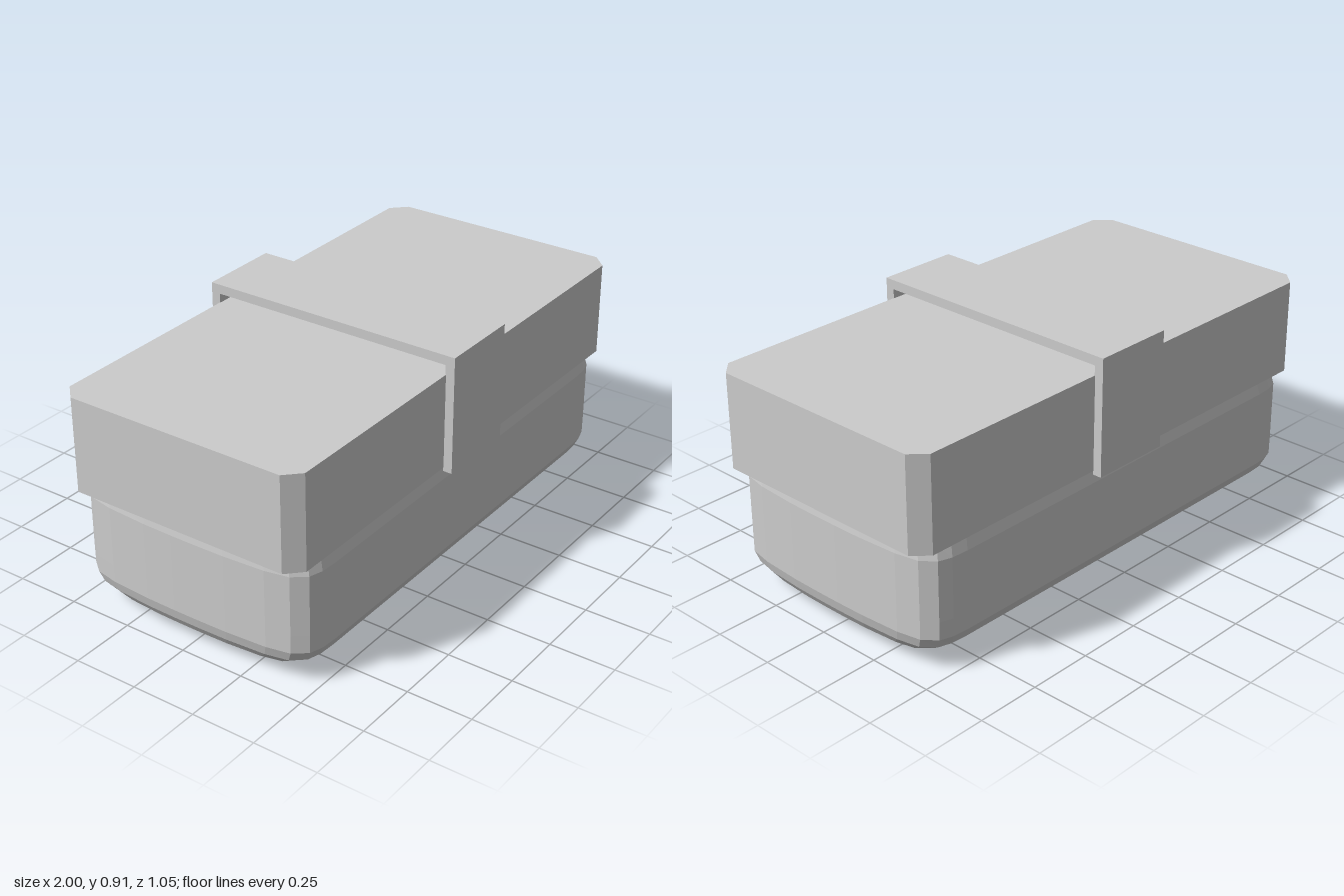
import * as THREE from 'three';

const grey = () => new THREE.MeshStandardMaterial({ color: 0xcccccc, flatShading: true });

function polygon(points) {
  return new THREE.Shape(points.map(([x, y]) => new THREE.Vector2(x, y)));
}

// Tub: one rounded plan outline, lofted through levels of [half length, half depth, y]
function tubGeometry() {
  const quarter = [[0.975, 0.05], [0.973, 0.17], [0.963, 0.33], [0.945, 0.42],
    [0.905, 0.47], [0.855, 0.486], [0.79, 0.49]];
  const back = [...quarter].reverse();
  const plan = [
    ...quarter,
    ...back.map(([x, z]) => [-x, z]),
    ...quarter.map(([x, z]) => [-x, -z]),
    ...back.map(([x, z]) => [x, -z]),
  ];
  const levels = [[0.78, 0, 0], [0.85, 0.19, 0.01], [0.9, 0.33, 0.03], [0.943, 0.42, 0.055],
    [0.965, 0.47, 0.09], [0.975, 0.489, 0.13], [0.975, 0.49, 0.2], [0.975, 0.49, 0.43],
    [0.967, 0.477, 0.48], [0.945, 0.43, 0.515], [0.85, 0, 0.53]];
  const positions = [], index = [], n = plan.length;
  levels.forEach(([length, depth, y], i) => {
    plan.forEach(([x, z], j) => {
      positions.push(Math.sign(x) * (Math.abs(x) - 0.975 + length), y, z * depth / 0.49);
      if (i === levels.length - 1) return;
      const a = i * n + j, b = i * n + (j + 1) % n;
      index.push(a, a + n, b + n, a, b + n, b);
    });
  });
  const geometry = new THREE.BufferGeometry();
  geometry.setAttribute('position', new THREE.Float32BufferAttribute(positions, 3));
  geometry.setIndex(index);
  geometry.computeVertexNormals();
  return geometry;
}

// Lid: rectangular slab with chamfered vertical corners
function lidGeometry() {
  const w = 1, d = 0.489, c = 0.056;
  const outline = polygon([[w, -d + c], [w, d - c], [w - c, d], [-w + c, d],
    [-w, d - c], [-w, -d + c], [-w + c, -d], [w - c, -d]]);
  return new THREE.ExtrudeGeometry(outline, { depth: 0.363, bevelEnabled: false })
    .rotateX(-Math.PI / 2).translate(0, 0.477, 0);
}

// Strap: square arch over the lid, with a gap above the lid top
function strapGeometry() {
  const o = 0.523, i = 0.487;
  const arch = polygon([[-o, 0.463], [-i, 0.463], [-i, 0.876], [i, 0.876],
    [i, 0.463], [o, 0.463], [o, 0.912], [-o, 0.912]]);
  return new THREE.ExtrudeGeometry(arch, { depth: 0.32, bevelEnabled: false })
    .rotateY(Math.PI / 2).translate(-0.149, 0, 0);
}

export function createModel() {
  const group = new THREE.Group();
  const parts = { tub: tubGeometry(), lid: lidGeometry(), strap: strapGeometry() };
  for (const [name, geometry] of Object.entries(parts)) {
    const mesh = new THREE.Mesh(geometry, grey());
    mesh.name = name;
    group.add(mesh);
  }
  return group;
}
